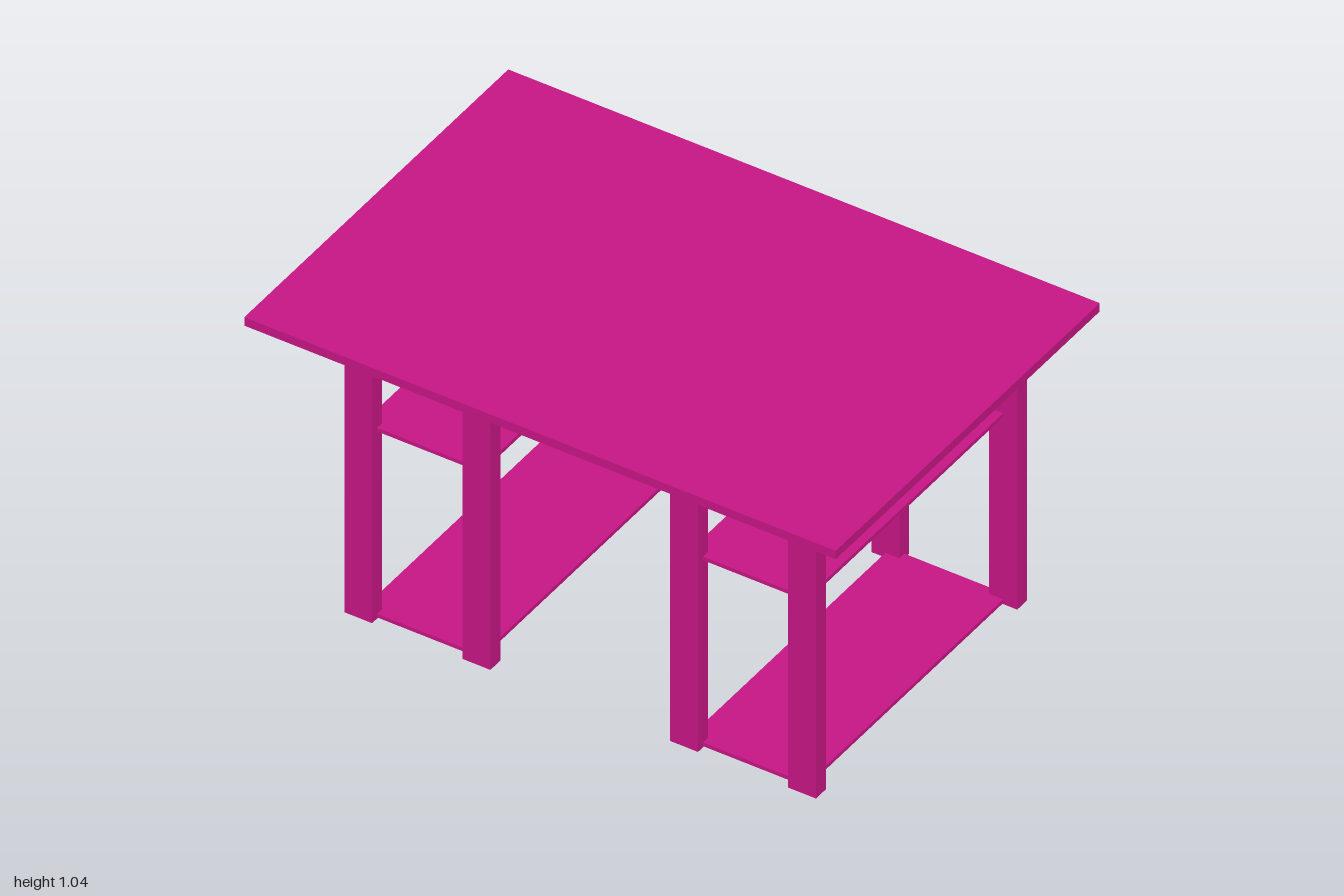
import * as THREE from 'three';

const material = new THREE.MeshStandardMaterial({ color: 0xc71585 });

// Box given by its min and max on each axis
function box(name, [x0, x1], [y0, y1], [z0, z1]) {
  const mesh = new THREE.Mesh(new THREE.BoxGeometry(x1 - x0, y1 - y0, z1 - z0), material);
  mesh.name = name;
  mesh.position.set((x0 + x1) / 2, (y0 + y1) / 2, (z0 + z1) / 2);
  return mesh;
}

// Four legs with two shelves let into their centres
function pedestal(name, legsX) {
  const group = new THREE.Group();
  group.name = name;
  const legsZ = [[0.5, 0.552], [-0.549, -0.497]];
  for (const x of legsX)
    for (const z of legsZ) group.add(box('leg', x, [0, 1.01], z));

  const mid = ([a, b]) => (a + b) / 2;
  const shelfX = legsX.map(mid);
  const shelfZ = [mid(legsZ[1]), mid(legsZ[0])];
  group.add(box('lowerShelf', shelfX, [0.004, 0.017], shelfZ));
  group.add(box('upperShelf', shelfX, [0.669, 0.682], shelfZ));
  return group;
}

export function createModel() {
  const desk = new THREE.Group();
  desk.name = 'desk';
  desk.add(box('tabletop', [-1, 1], [1.008, 1.038], [-0.688, 0.688]));
  desk.add(pedestal('rightPedestal', [[-0.75, -0.656], [-0.35, -0.256]]));
  desk.add(pedestal('leftPedestal', [[0.352, 0.446], [0.75, 0.845]]));
  return desk;
}
